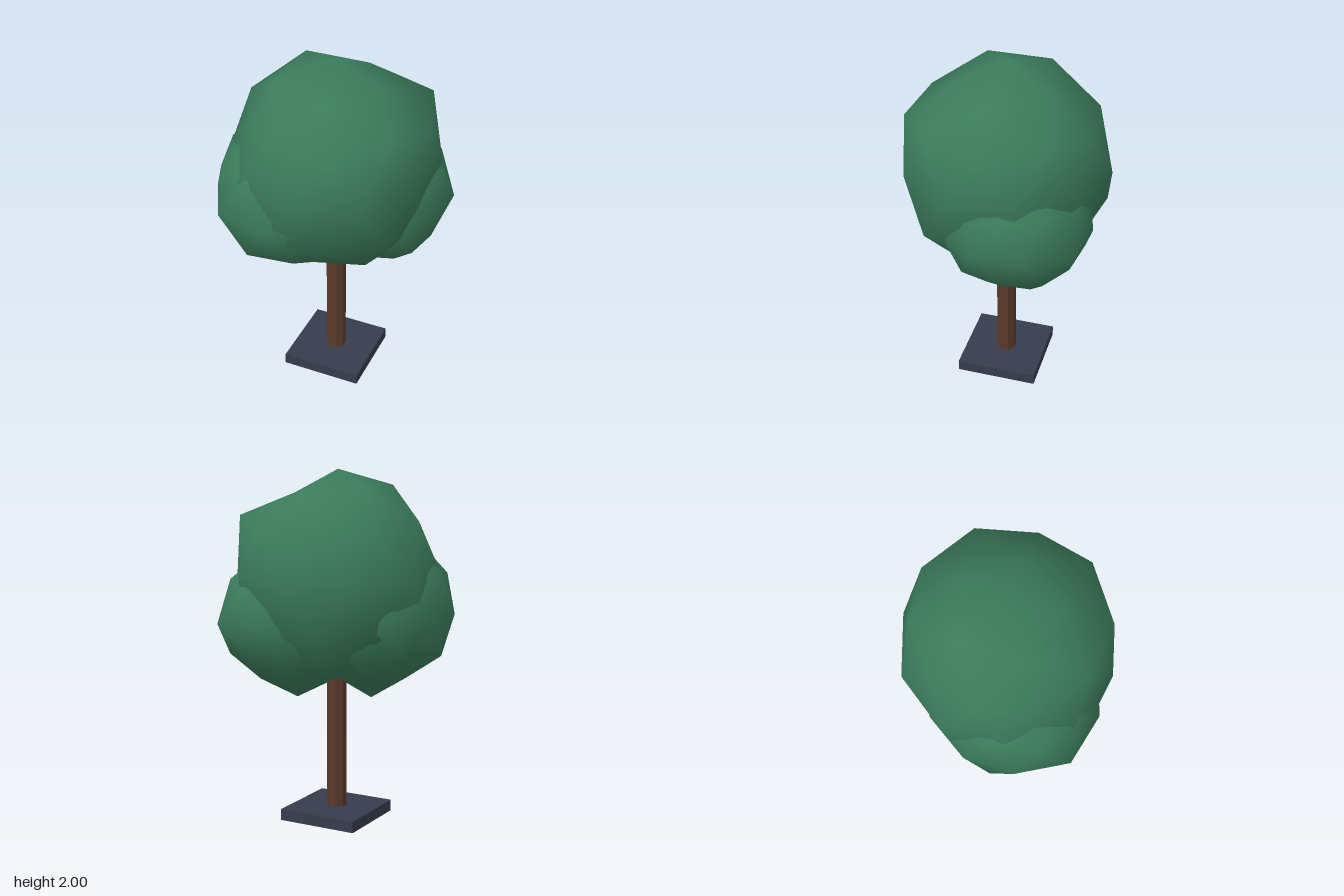
import * as THREE from 'three';
import { mergeVertices } from 'three/addons/utils/BufferGeometryUtils.js';

// Height of each row of corners on a unit ball
const TOP = 1, SHOULDER = 0.851, UPPER_MID = 0.526, UPPER = 0.447, EQUATOR = 0;
const LOWER = -0.447, LOWER_MID = -0.526, UNDER = -0.851, BOTTOM = -1;

// Uneven faceted ball with a corner pointing straight up and smooth normals.
// Each bump is [row height, scale, ...angles]; without angles it moves the whole row.
function leafBall(radius, bumps) {
  let g = new THREE.IcosahedronGeometry(1, 1);
  g.rotateZ(-Math.atan(2 / (1 + Math.sqrt(5))));
  g.deleteAttribute('uv');
  g.deleteAttribute('normal');
  g = mergeVertices(g, 1e-3);
  const p = g.attributes.position;
  const v = new THREE.Vector3();
  for (let i = 0; i < p.count; i++) {
    v.fromBufferAttribute(p, i).normalize();
    const angle = THREE.MathUtils.radToDeg(Math.atan2(v.z, v.x));
    let scale = radius;
    for (const [row, amount, ...angles] of bumps) {
      const onRow = Math.abs(v.y - row) < 0.02;
      const atAngle = !angles.length ||
        angles.some((a) => Math.abs(((angle - a + 540) % 360) - 180) < 5);
      if (onRow && atAngle) scale *= amount;
    }
    v.multiplyScalar(scale);
    p.setXYZ(i, v.x, v.y, v.z);
  }
  g.computeVertexNormals();
  return g;
}

export function createModel() {
  const group = new THREE.Group();
  const leaf = new THREE.MeshStandardMaterial({ name: 'leafGreen', color: 0x3b7b5b });
  const bark = new THREE.MeshStandardMaterial({ name: 'barkBrown', color: 0x5a3a2a });
  const slate = new THREE.MeshStandardMaterial({ name: 'slateBase', color: 0x363c4d });

  const add = (name, geometry, material, x, y, z) => {
    const mesh = new THREE.Mesh(geometry, material);
    mesh.name = name;
    mesh.position.set(x, y, z);
    group.add(mesh);
  };

  // Square base plate
  add('basePlate', new THREE.BoxGeometry(0.47, 0.065, 0.47), slate, 0.009, 0.0325, 0);

  // Eight-sided trunk with flat sides facing the axes
  const trunk = new THREE.CylinderGeometry(0.057, 0.057, 1.1, 8, 1, false, Math.PI / 8).toNonIndexed();
  trunk.computeVertexNormals();
  add('trunk', trunk, bark, 0.009, 0.55, 0);

  // Large crown: swollen on the +x side and underneath, drawn in on the -x side
  add('crown', leafBall(0.588, [
    [SHOULDER, 0.91, 0, 72, -72],
    [UPPER_MID, 1.09, 36, -36],
    [UPPER, 1.045, 0, 72, -72],
    [UPPER, 0.91, 144, -144],
    [LOWER, 1.08],
    [UNDER, 1.08],
    [BOTTOM, 1.02],
  ]), leaf, 0, 1.412, 0);

  // Lower clump at the front, tapering to a point underneath
  add('frontRightClump', leafBall(0.485, [
    [EQUATOR, 1.05, 126],
    [EQUATOR, 0.97, 162, -162],
    [LOWER, 0.88, 36, -36],
    [LOWER_MID, 0.92],
    [UNDER, 0.87],
    [BOTTOM, 1.02],
  ]), leaf, -0.165, 1.2, 0.095);

  // Lower clump at the back
  add('backLeftClump', leafBall(0.44, [
    [TOP, 1.03],
    [EQUATOR, 1.08, -54],
    [EQUATOR, 0.96, -90],
    [LOWER, 0.97],
    [LOWER, 0.88, 108, 180],
    [LOWER_MID, 0.91],
    [UNDER, 0.91],
    [BOTTOM, 1.02],
  ]), leaf, 0.2, 1.16, -0.115);
  return group;
}
